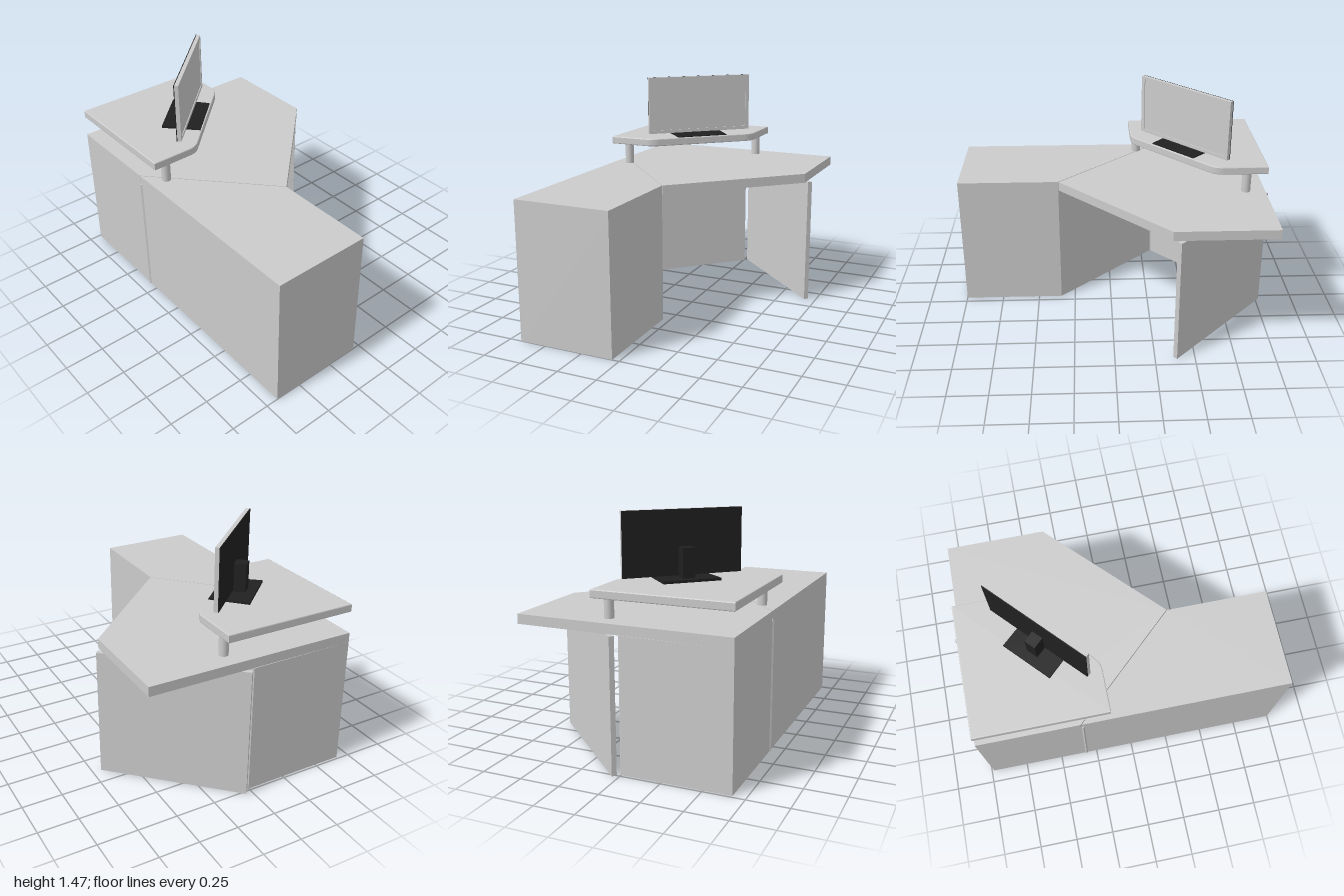
import * as THREE from 'three';

const grey = new THREE.MeshStandardMaterial({ color: 0xcccccc });
const black = new THREE.MeshStandardMaterial({ color: 0x202020 });

function add(parent, name, geometry, material = grey) {
  const mesh = new THREE.Mesh(geometry, material);
  mesh.name = name;
  parent.add(mesh);
  return mesh;
}

// Upright prism over a plan outline (shape y is -z)
function raise(shape, y0, y1, bevel = 0) {
  const geo = new THREE.ExtrudeGeometry(shape, {
    depth: y1 - y0 - 2 * bevel, bevelEnabled: bevel > 0, bevelThickness: bevel,
    bevelSize: bevel, bevelOffset: -bevel, bevelSegments: 2, curveSegments: 8,
  });
  return geo.rotateX(-Math.PI / 2).translate(0, y0 + bevel, 0);
}

const plan = (points) => new THREE.Shape(points.map(([x, z]) => new THREE.Vector2(x, -z)));

// Panel from a to b in plan, its thickness t growing to the right of the walk from a to b
function panel(a, b, t, y0, y1) {
  const dx = b[0] - a[0], dz = b[1] - a[1], k = t / Math.hypot(dx, dz);
  const o = [-dz * k, dx * k];
  return raise(plan([a, b, [b[0] + o[0], b[1] + o[1]], [a[0] + o[0], a[1] + o[1]]]), y0, y1);
}

function box(w, h, d, x, y, z) {
  return new THREE.BoxGeometry(w, h, d).translate(x, y, z);
}

function createMonitor() {
  const monitor = new THREE.Group();
  monitor.name = 'monitor';
  const w = 0.735, h = 0.386, y = 1.278, rim = 0.026;

  add(monitor, 'screen', box(w, h, 0.02, 0, y, 0));
  add(monitor, 'backCover', box(w, h, 0.005, 0, y, -0.0125), black);

  // Raised frame around the screen
  const frame = new THREE.Shape();
  frame.moveTo(-w / 2, -h / 2).lineTo(w / 2, -h / 2).lineTo(w / 2, h / 2).lineTo(-w / 2, h / 2).closePath();
  const hole = new THREE.Path();
  const iw = w / 2 - rim, top = h / 2 - 0.015, low = -h / 2 + 0.022;
  hole.moveTo(-iw, low).lineTo(-iw, top).lineTo(iw, top).lineTo(iw, low).closePath();
  frame.holes.push(hole);
  add(monitor, 'bezel', new THREE.ExtrudeGeometry(frame, { depth: 0.005, bevelEnabled: false }).translate(0, y, 0.01));

  // Stand: foot sloping down to the front, and a neck behind the screen
  const foot = box(0.35, 0.016, 0.25, -0.01, 1.073, -0.024);
  const p = foot.attributes.position;
  for (let i = 0; i < p.count; i++) if (p.getY(i) > 1.075 && p.getZ(i) > 0) p.setY(i, 1.07);
  foot.computeVertexNormals();
  add(monitor, 'standFoot', foot, black);
  add(monitor, 'standNeck', box(0.075, 0.18, 0.075, -0.01, 1.165, -0.0525), black);

  monitor.position.set(-0.163, 0, -0.483);
  monitor.rotation.y = 0.755;
  return monitor;
}

export function createModel() {
  const desk = new THREE.Group();
  desk.name = 'cornerDesk';

  const under = 0.82, top = 0.88;
  const left = -0.672, right = 0.66, back = -0.985;
  const inner = [-0.046, 0.345], outer = [right, -0.34];
  const seam = [left, -0.33], rear = [0, back];

  // Worktops, meeting on a slanted seam
  add(desk, 'cornerTop', raise(plan([
    [inner[0] + 0.003, inner[1] - 0.003], outer, [right, -0.975], [left, back], [left, seam[1] - 0.006],
  ]), under, top));
  add(desk, 'cabinetTop', raise(plan([[left, 1], [inner[0], 1], inner, seam]), under, top));

  // Cabinet and long side wall
  const t = 0.012;
  add(desk, 'sideWall', panel([left, 1], [left, back], t, 0, under));
  add(desk, 'cabinetFront', box(inner[0] - left - 2 * t, under, t, (inner[0] + left) / 2, under / 2, 1 - t / 2));
  add(desk, 'cabinetSide', panel(inner, [inner[0], 1], t, 0, under));
  add(desk, 'cabinetBottom', box(inner[0] - left - 2 * t, t, 1 - inner[1] - t,
    (inner[0] + left) / 2, t / 2, (1 - t + inner[1]) / 2));

  // Kneehole panels, rear panel and slanted leg
  add(desk, 'kneeholeSide', panel(seam, inner, t, 0, under));
  add(desk, 'kneeholeBack', panel(rear, seam, -t, 0, under));
  add(desk, 'backPanel', panel([left + t, back], rear, t, 0, under));
  add(desk, 'legPanel', panel([0.02, -1], [0.675, -0.365], -0.03, 0, under).translate(0, 0, 0));

  // Raised shelf with two rounded corners
  const shelf = new THREE.Shape();
  shelf.moveTo(left, 0.145);
  shelf.lineTo(-0.41, 0.145);
  shelf.quadraticCurveTo(-0.36, 0.145, -0.325, 0.18);
  shelf.lineTo(0.135, 0.61);
  shelf.quadraticCurveTo(0.175, 0.65, 0.175, 0.7);
  shelf.lineTo(0.175, 0.98);
  shelf.lineTo(left, 0.98);
  shelf.closePath();
  add(desk, 'raisedShelf', raise(shelf, 1.014, 1.065, 0.006));

  for (const [x, z] of [[-0.565, -0.195], [0.125, -0.855]]) {
    add(desk, 'shelfPost', new THREE.CylinderGeometry(0.029, 0.029, 0.14, 24).translate(x, 0.947, z));
  }

  desk.add(createMonitor());
  return desk;
}
